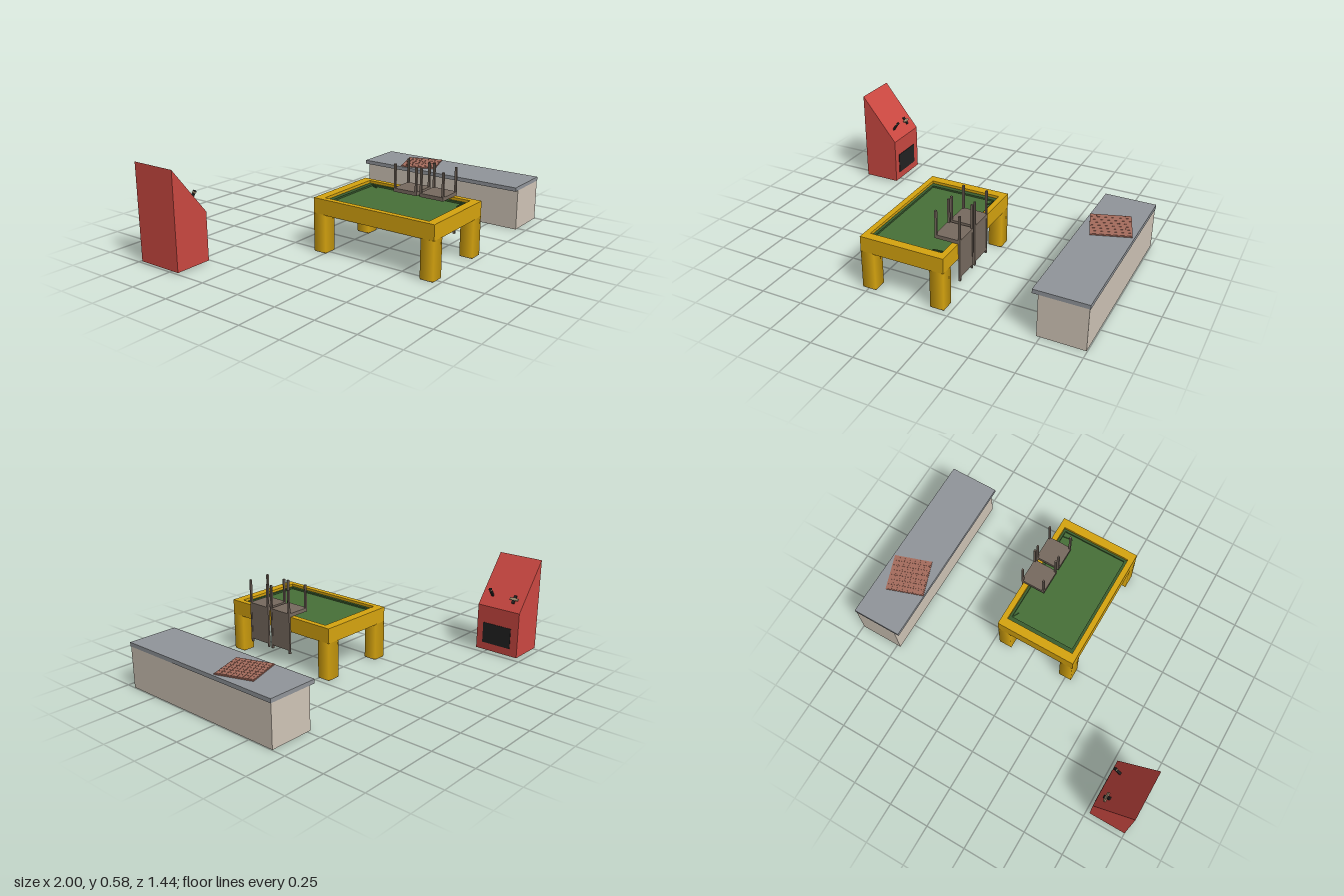
import * as THREE from 'three';

const material = (name, color) => Object.assign(new THREE.MeshStandardMaterial({ color }), { name });

export function createModel() {
  const red = material('cabinet red', 0xcb4841);
  const black = material('black', 0x222222);
  const tan = material('tan', 0xa08c70);
  const gold = material('golden frame', 0xd6a40f);
  const green = material('felt green', 0x477038);
  const darkGreen = material('cushion green', 0x3a5d2f);
  const brown = material('chair brown', 0x776a5f);
  const beige = material('counter beige', 0xd0c5b7);
  const grey = material('counter grey', 0x91959a);
  const clay = material('mat clay', 0xa56c5d);

  const model = new THREE.Group();
  const group = (name, parent = model) => {
    const g = new THREE.Group();
    g.name = name;
    parent.add(g);
    return g;
  };
  const add = (parent, name, geometry, mat) => {
    const mesh = new THREE.Mesh(geometry, mat);
    mesh.name = name;
    parent.add(mesh);
    return mesh;
  };
  // Box given by its limits along each axis
  const box = (parent, name, mat, x0, x1, y0, y1, z0, z1) => {
    const mesh = add(parent, name, new THREE.BoxGeometry(x1 - x0, y1 - y0, z1 - z0), mat);
    mesh.position.set((x0 + x1) / 2, (y0 + y1) / 2, (z0 + z1) / 2);
    return mesh;
  };
  // Flat rectangular ring; outer and inner are [x0, x1, z0, z1]
  const ring = (parent, name, mat, outer, inner, y0, y1) => {
    const corners = ([x0, x1, z0, z1]) =>
      [[x0, -z1], [x1, -z1], [x1, -z0], [x0, -z0]].map(([x, y]) => new THREE.Vector2(x, y));
    const shape = new THREE.Shape(corners(outer));
    shape.holes.push(new THREE.Path(corners(inner)));
    const geometry = new THREE.ExtrudeGeometry(shape, { depth: y1 - y0, bevelEnabled: false });
    geometry.rotateX(-Math.PI / 2).translate(0, y0, 0);
    return add(parent, name, geometry, mat);
  };

  // Slanted cabinet with a dark panel and two controls
  const cabinet = group('cabinet');
  const profile = new THREE.Shape(
    [[-1, 0.01], [-0.773, 0.01], [-0.773, 0.295], [-1, 0.58]].map(p => new THREE.Vector2(...p)));
  const body = new THREE.ExtrudeGeometry(profile, { depth: 0.286, bevelEnabled: false });
  add(cabinet, 'cabinetBody', body.translate(0, 0, -0.72), red);
  box(cabinet, 'frontPanel', black, -0.774, -0.77, 0.057, 0.187, -0.67, -0.477);

  const lever = group('lever', cabinet);
  lever.position.set(-0.822, 0.352, -0.503);
  lever.rotation.z = -0.63;
  box(lever, 'leverArm', black, -0.006, 0.006, 0, 0.05, -0.007, 0.007);
  box(lever, 'leverTip', tan, -0.006, 0.006, 0.05, 0.058, -0.007, 0.007);
  box(lever, 'leverCap', black, -0.007, 0.007, 0.058, 0.066, -0.008, 0.008);

  const valve = group('valve', cabinet);
  valve.position.set(-0.822, 0.358, -0.653);
  valve.rotation.z = -0.891;
  box(valve, 'valvePlate', black, -0.027, 0.027, 0, 0.008, -0.009, 0.009);
  box(valve, 'valveHandle', tan, -0.007, 0.007, 0.004, 0.012, -0.027, 0.027);

  // Table with a recessed felt bed
  const table = group('table');
  const rim = [-0.254, 0.18, -0.02, 0.664];
  const bed = [-0.237, 0.166, 0.008, 0.65];
  ring(table, 'tableFrame', gold, [-0.288, 0.214, -0.075, 0.717], rim, 0.228, 0.32);
  ring(table, 'cushion', darkGreen, rim, bed, 0.24, 0.304);
  box(table, 'tableUnderside', gold, -0.27, 0.2, 0.228, 0.24, -0.05, 0.69);
  box(table, 'feltBed', green, rim[0], rim[1], 0.24, 0.294, rim[2], rim[3]);
  const cueA = box(table, 'cueStub', darkGreen, 0.104, 0.164, 0.294, 0.299, 0.618, 0.626);
  cueA.rotation.y = 0.1;
  const cueB = box(table, 'cueStub', darkGreen, 0.135, 0.175, 0.294, 0.299, 0.031, 0.039);
  cueB.rotation.y = 1.1;

  // Square legs with softly shaded sides
  for (const x of [-0.247, 0.173]) {
    for (const z of [-0.034, 0.676]) {
      const geometry = new THREE.CylinderGeometry(0.058, 0.058, 0.226, 4).rotateY(Math.PI / 4);
      add(table, 'tableLeg', geometry, gold).position.set(x, 0.117, z);
      box(table, 'footPad', tan, x - 0.04, x + 0.04, 0, 0.004, z - 0.04, z + 0.04);
    }
  }

  // Two chairs stacked upside down on the table edge
  for (const z of [0.3, 0.475]) {
    const chair = group('upturnedChair');
    chair.position.z = z;
    box(chair, 'seat', brown, 0.074, 0.226, 0.32, 0.342, -0.077, 0.077);
    box(chair, 'backrest', brown, 0.217, 0.224, 0.11, 0.33, -0.07, 0.07);
    for (const s of [-1, 1]) {
      const z0 = s * 0.071 - 0.006;
      box(chair, 'frontLeg', brown, 0.075, 0.087, 0.33, 0.485, z0, z0 + 0.012);
      box(chair, 'backPost', brown, 0.215, 0.226, 0.09, 0.485, z0, z0 + 0.012);
    }
  }

  // Long counter with an overhanging top
  const counter = group('counter');
  box(counter, 'counterBody', beige, 0.728, 0.996, 0, 0.251, -0.413, 0.693);
  box(counter, 'counterTop', grey, 0.695, 1, 0.251, 0.275, -0.416, 0.694);

  // Turned mat with low square tiles
  const mat = group('mat', counter);
  mat.position.set(0.843, 0.275, -0.066);
  mat.rotation.y = 0.328;
  box(mat, 'matBase', clay, -0.116, 0.116, 0, 0.006, -0.113, 0.113);
  const n = 7, step = 0.222 / n;
  for (let i = 0; i < n; i++) {
    for (let j = 0; j < n; j++) {
      const x = -0.111 + i * step, z = -0.111 + j * step;
      box(mat, 'matTile', clay, x + 0.001, x + step - 0.001, 0.006, 0.008, z + 0.001, z + step - 0.001);
    }
  }
  return model;
}
